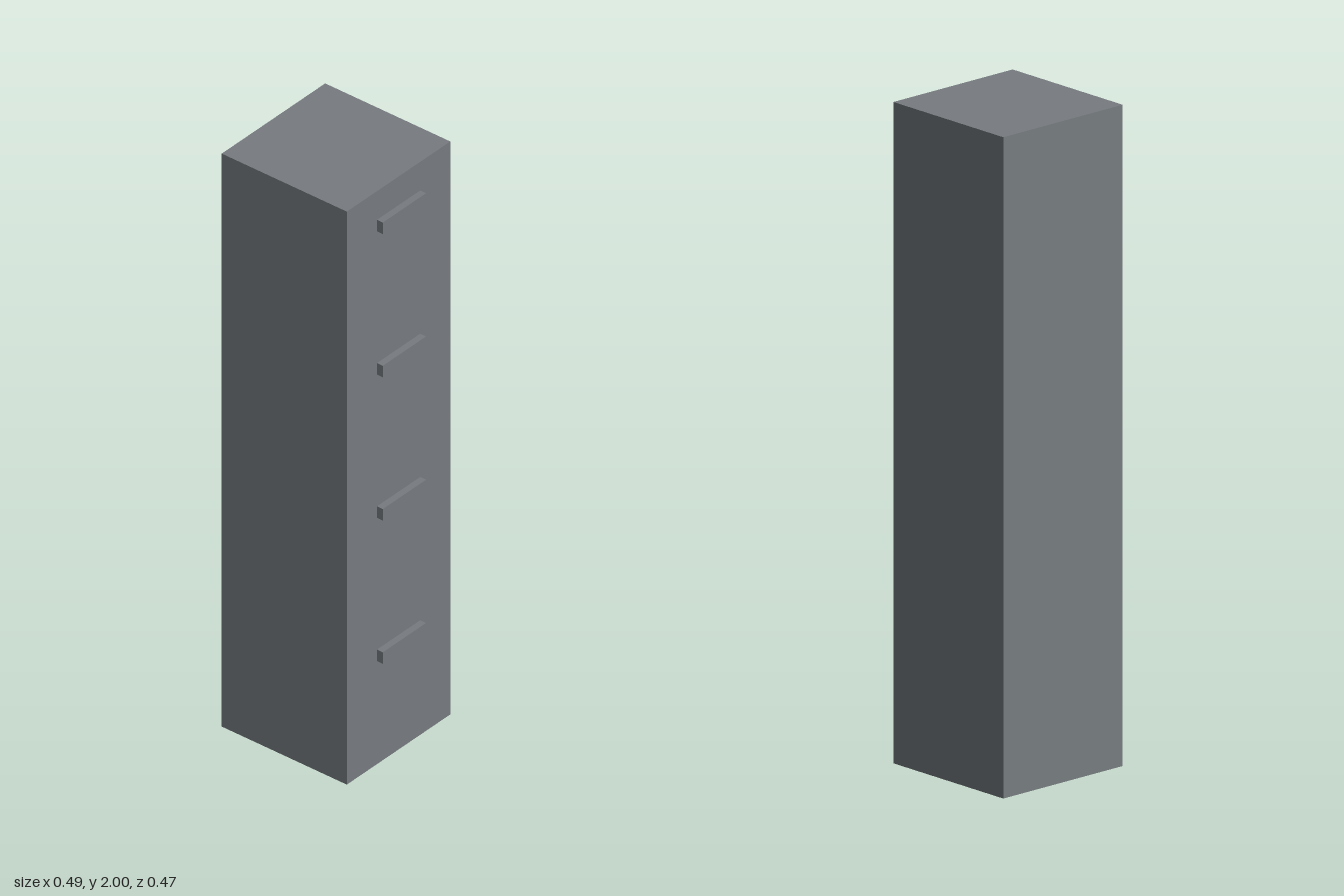
import * as THREE from 'three';

export function createModel() {
  const group = new THREE.Group();
  const grey = new THREE.MeshStandardMaterial({ color: 0x777c80 });
  grey.name = 'steelGrey';

  const addBox = (name, size, position) => {
    const mesh = new THREE.Mesh(new THREE.BoxGeometry(...size), grey);
    mesh.name = name;
    mesh.position.set(...position);
    group.add(mesh);
  };

  // Tall cabinet body
  addBox('cabinetBody', [0.469, 2, 0.469], [-0.0115, 1, 0]);

  // One horizontal handle per drawer, evenly spaced up the side
  for (let i = 0; i < 4; i++) {
    addBox(`drawerHandle${i + 1}`, [0.022, 0.04, 0.196], [0.234, 0.38 + i * 0.5, 0]);
  }
  return group;
}
